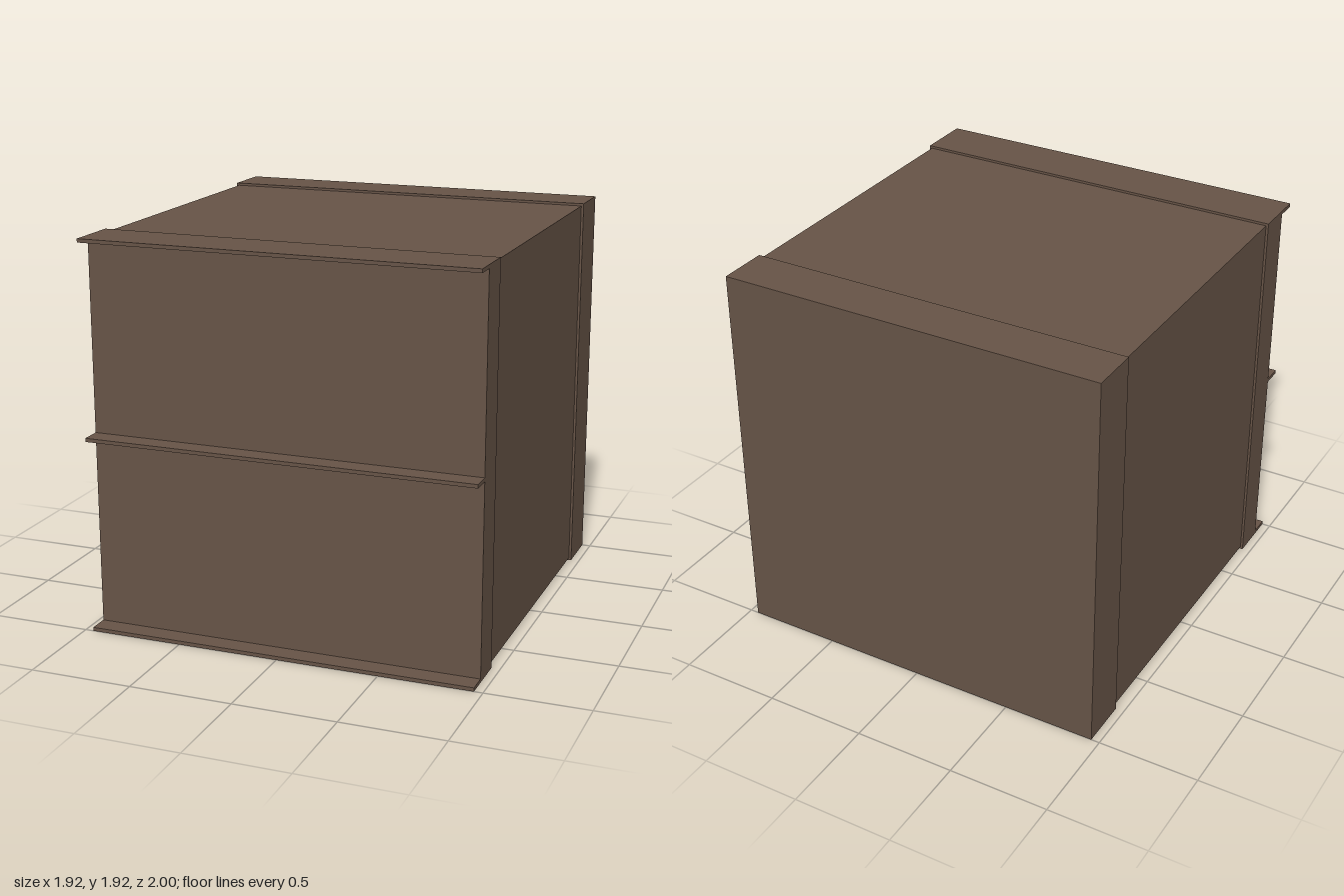
import * as THREE from 'three';

export function createModel() {
  const model = new THREE.Group();
  model.name = 'crate';
  const brown = new THREE.MeshStandardMaterial({ color: 0x665346 });
  brown.name = 'dark brown';

  // Box given by its half width and its y and z extents
  const addBox = (name, halfWidth, y0, y1, z0, z1) => {
    const mesh = new THREE.Mesh(new THREE.BoxGeometry(halfWidth * 2, y1 - y0, z1 - z0), brown);
    mesh.name = name;
    mesh.position.set(0, (y0 + y1) / 2, (z0 + z1) / 2);
    model.add(mesh);
  };

  const width = 0.958, height = 1.916, lip = 0.018;

  // Slightly recessed body between the two end slabs
  addBox('body', 0.946, 0.012, 1.904, -0.75, 0.73);
  addBox('backSlab', width, 0, height, -1, -0.75);
  addBox('frontSlab', width, 0, height, 0.73, 0.9);

  // Thin ledges projecting from the front: bottom, middle and top
  ['bottomLedge', 'middleLedge', 'topLedge'].forEach((name, i) => {
    const y = i * (height - lip) / 2 + (i === 1 ? 0.004 : 0);
    addBox(name, width, y, y + lip, 0.9, 1);
  });

  return model;
}
